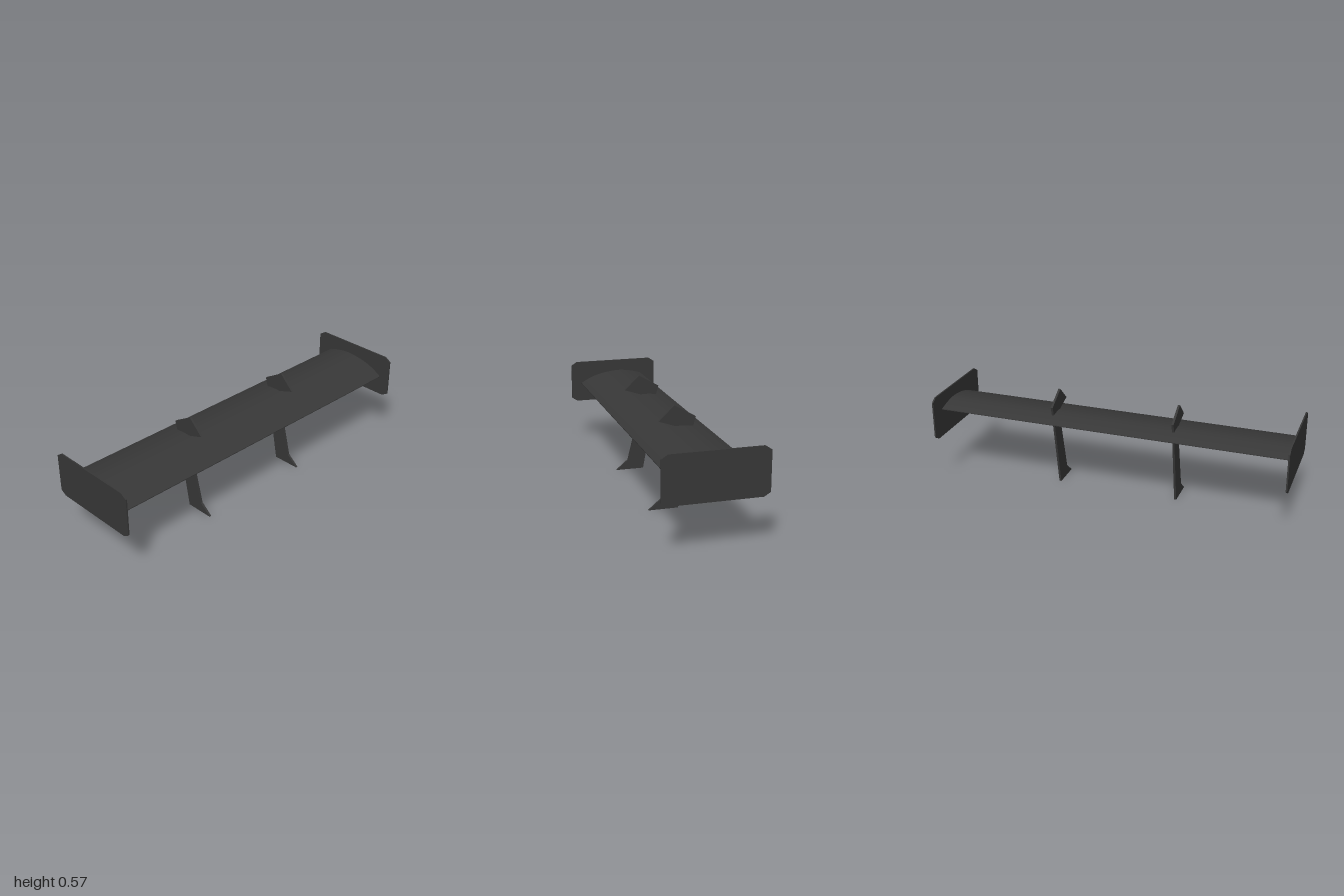
import * as THREE from 'three';
import { toCreasedNormals } from 'three/addons/utils/BufferGeometryUtils.js';

// Extrude a side profile of [z, y] points along x, centred on x = 0
function extrudeSide(points, width) {
  const shape = new THREE.Shape(points.map(([z, y]) => new THREE.Vector2(z, y)));
  const geometry = new THREE.ExtrudeGeometry(shape, { depth: width, bevelEnabled: false });
  geometry.translate(0, 0, -width / 2);
  geometry.rotateY(-Math.PI / 2);
  return toCreasedNormals(geometry, 0.6);
}

// Smooth curve through [z, y] points
function smooth(points) {
  const curve = new THREE.SplineCurve(points.map(([z, y]) => new THREE.Vector2(z, y)));
  return curve.getPoints(24).map((p) => [p.x, p.y]);
}

export function createModel() {
  const group = new THREE.Group();
  const charcoal = new THREE.MeshStandardMaterial({ color: 0x383838 });
  charcoal.name = 'charcoal';

  function add(name, geometry, x = 0) {
    const mesh = new THREE.Mesh(geometry, charcoal);
    mesh.name = name;
    mesh.position.x = x;
    group.add(mesh);
  }

  // Wing: arched top over a nearly flat underside that rises to the rear
  const top = smooth([[0.21, 0.384], [0.15, 0.417], [0.08, 0.44], [0, 0.453], [-0.06, 0.454], [-0.13, 0.443], [-0.18, 0.429]]);
  const underside = smooth([[-0.18, 0.425], [-0.06, 0.418], [0.06, 0.404], [0.21, 0.38]]);
  add('wing', extrudeSide([...top, ...underside], 1.99));

  // End plates with clipped corners
  const endPlate = extrudeSide([
    [0.272, 0.29], [0.272, 0.5], [0.238, 0.522], [-0.238, 0.522],
    [-0.272, 0.5], [-0.272, 0.29], [-0.238, 0.269], [0.238, 0.269],
  ], 0.008);

  // Swan-neck mounts: foot, raked strut, and a hooked tab above the wing
  const mount = extrudeSide([
    [0.145, 0], [0.076, 0.058], [-0.02, 0.448], [0.09, 0.485],
    [0.006, 0.567], [-0.112, 0.499], [-0.1, 0.455], [-0.017, 0],
  ], 0.012);

  for (const [side, sign] of [['left', 1], ['right', -1]]) {
    add(side + 'EndPlate', endPlate, sign * 0.996);
    add(side + 'Mount', mount, sign * 0.346);
  }
  return group;
}
